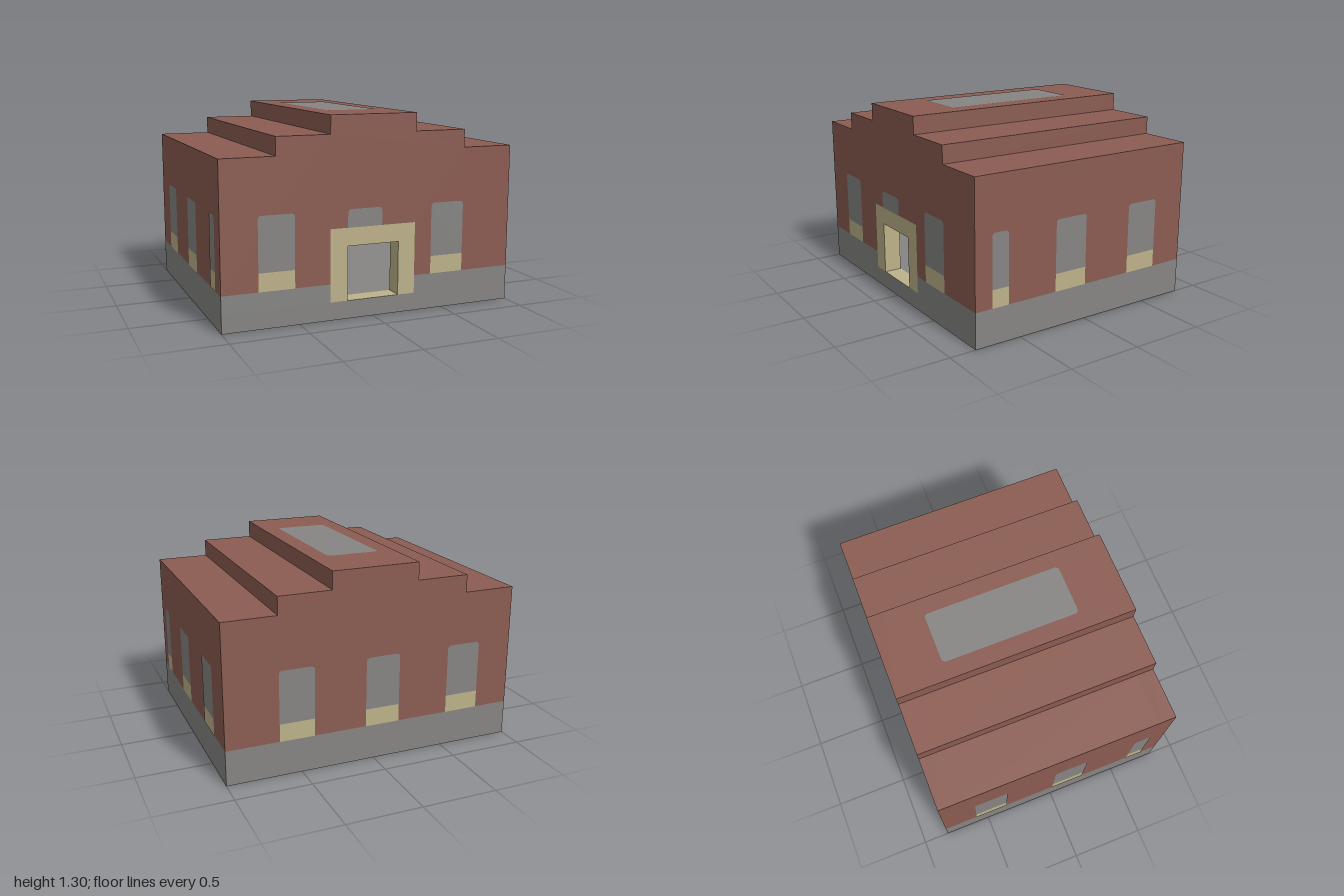
import * as THREE from 'three';

const U = 2 / 34;              // building module
const W = 17, D = 14, T = 2;   // half width, half depth, wall thickness in modules
const GAP = 0.002;             // how far painted panels sit off the walls

const mat = (name, color) => Object.assign(new THREE.MeshStandardMaterial({ color }), { name });

export function createModel() {
  const group = new THREE.Group();
  const brick = mat('brick', 0x8b5c52);
  const stone = mat('greyStone', 0x868583);
  const sand = mat('sandstone', 0xbdb28a);

  const add = (name, geometry, material) => {
    const mesh = new THREE.Mesh(geometry, material);
    mesh.name = name;
    group.add(mesh);
    return mesh;
  };

  // box from min and max corners, in modules
  const box = (name, m, x0, x1, y0, y1, z0, z1) =>
    add(name, new THREE.BoxGeometry((x1 - x0) * U, (y1 - y0) * U, (z1 - z0) * U), m)
      .position.set((x0 + x1) / 2 * U, (y0 + y1) / 2 * U, (z0 + z1) / 2 * U);

  // outline in modules extruded from z0 to z1
  const toPoints = (pts) => pts.map(([x, y]) => new THREE.Vector2(x * U, y * U));
  const slab = (name, m, pts, z0, z1, hole) => {
    const shape = new THREE.Shape(toPoints(pts));
    if (hole) shape.holes.push(new THREE.Path(toPoints(hole)));
    const g = new THREE.ExtrudeGeometry(shape, { depth: (z1 - z0) * U, bevelEnabled: false });
    add(name, g.translate(0, 0, z0 * U), m);
  };

  // flat panel with clipped corners
  const panel = (name, m, w, h, top, bottom) => {
    const a = w / 2, t = top, b = bottom;
    const pts = [[-a + b, 0], [a - b, 0], [a, b], [a, h - t], [a - t, h], [-a + t, h], [-a, h - t], [-a, b]];
    return add(name, new THREE.ShapeGeometry(new THREE.Shape(toPoints(pts))), m);
  };

  // stepped gable outline above the stone base
  const steps = [[W, 18], [11, 18], [11, 20], [5, 20], [5, 22]];
  const mirrored = (s) => [...s, ...s.map(([x, y]) => [-x, y]).reverse()];
  const gable = mirrored([[W, 4], ...steps]);
  const doorHalf = 5, doorTop = 10;

  // floor and stone base
  box('floorSlab', stone, -W, W, 0, 2, -D, D);
  box('baseBack', stone, -W, W, 2, 4, -D, -D + T);
  for (const s of [-1, 1]) {
    const [x0, x1] = s > 0 ? [W - T, W] : [-W, -W + T];
    box('baseSide', stone, x0, x1, 2, 4, -D + T, D - T);
    const [f0, f1] = s > 0 ? [doorHalf, W] : [-W, -doorHalf];
    box('baseFront', stone, f0, f1, 2, 4, D - T, D);
  }

  // brick gable walls, the front one notched for the doorway
  slab('backWall', brick, gable, -D, -D + T);
  slab('frontWall', brick,
    [...gable, [-doorHalf, 4], [-doorHalf, doorTop], [doorHalf, doorTop], [doorHalf, 4]], D - T, D);

  // side walls and stepped roof in one shell
  const inner = [[W - T, 4], [W - T, 16], [9, 16], [9, 18], [3, 18], [3, 20]];
  const innerLoop = mirrored(inner).reverse();
  slab('sideWallsAndRoof', brick, [...gable, ...innerLoop], -D + T, D - T);

  // doorway surround
  slab('doorFrame', sand, [[-5, 2], [5, 2], [5, 10], [-5, 10]], D - T, D,
    [[-3, 2.001], [-3, 8], [3, 8], [3, 2.001]]);

  // ceiling lamp
  box('ceilingLamp', stone, -1, 1, 6, 20, -1, 1);

  // windows: a sandstone sill panel below a grey pane, on both faces of a wall
  const windowAt = (axis, along, width, side, hidden) => {
    for (const face of [1, -1]) {
      const dist = (axis === 'z' ? D : W) - (face > 0 ? 0 : T);
      const out = side * (dist * U + face * GAP);
      const dir = side * face;
      const place = (mesh, y) => {
        if (axis === 'z') {
          mesh.position.set(along * U, y * U, out);
          mesh.rotation.y = dir > 0 ? 0 : Math.PI;
        } else {
          mesh.position.set(out, y * U, along * U);
          mesh.rotation.y = dir * Math.PI / 2;
        }
      };
      if (!hidden) place(panel('windowSill', sand, width, 2, 0, 0), 4);
      const y0 = hidden ? doorTop : 6;
      place(panel('windowPane', stone, width, 12 - y0, 0.25, 0), y0);
    }
  };
  for (const side of [1, -1]) {
    for (const x of [-11, -1, 9]) windowAt('z', x, 4, side, side > 0 && x === -1);
    // the front window on each side is half width
    for (const [z, w] of [[-8, 4], [2, 4], [11, 2]]) windowAt('x', z, w, side, false);
  }

  // skylight, seen on the roof and on the ceiling
  const skylight = panel('skylight', stone, 6, 16, 0.3, 0.3);
  skylight.rotation.x = -Math.PI / 2;
  skylight.position.set(0, 22 * U + GAP, 8 * U);
  const under = panel('skylightUnderside', stone, 6, 16, 0.3, 0.3);
  under.rotation.x = Math.PI / 2;
  under.position.set(0, 20 * U - GAP, -8 * U);

  return group;
}
